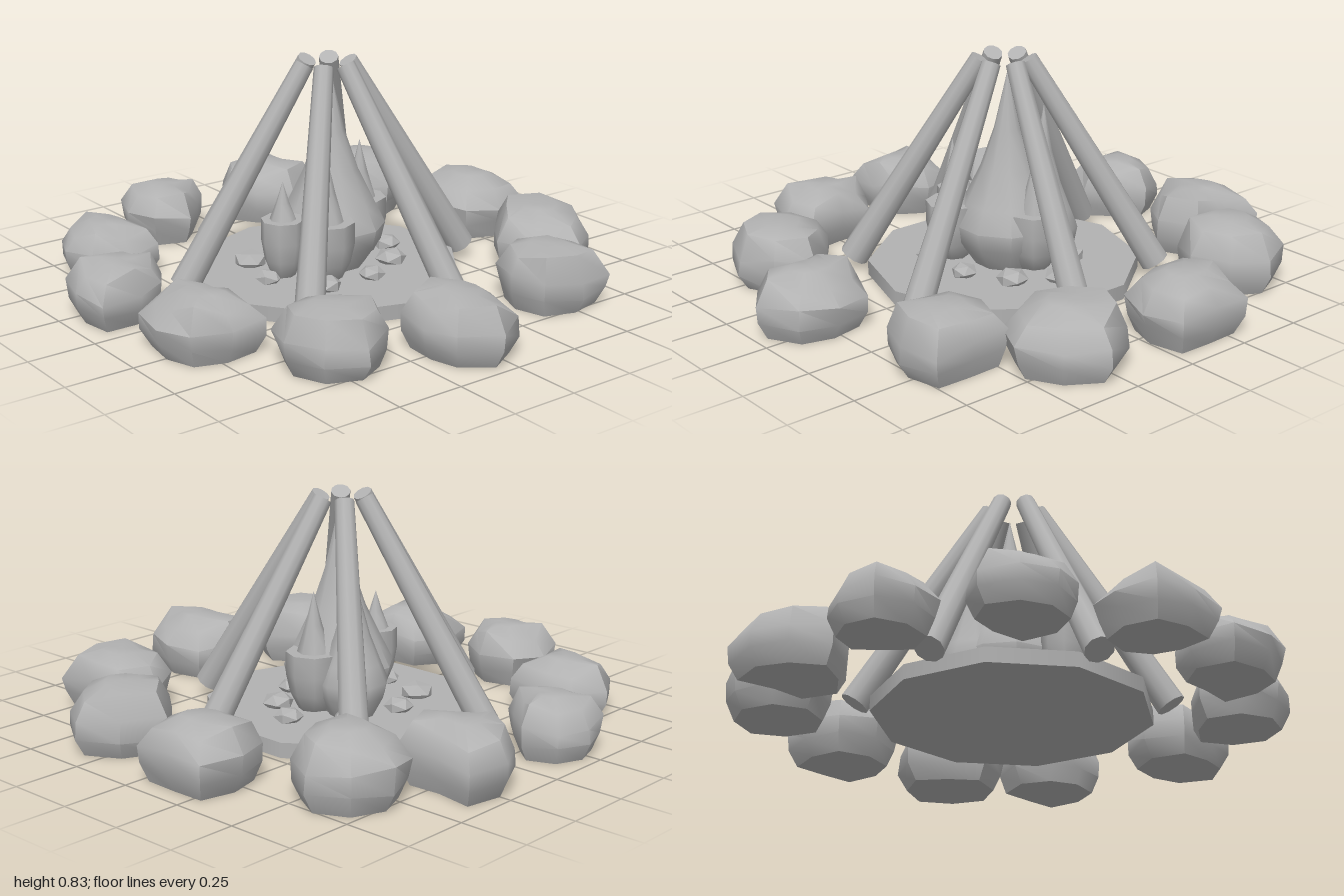
import * as THREE from 'three';
import { toCreasedNormals } from 'three/addons/utils/BufferGeometryUtils.js';

const grey = new THREE.MeshStandardMaterial({ color: 0xb2b2b2 });
grey.name = 'paleGrey';
const CX = -0.04; // centre of the fire

let seed = 7;
const rand = () => (seed = (seed * 16807) % 2147483647) / 2147483647;

function add(parent, name, geometry, x = 0, y = 0, z = 0) {
  const mesh = new THREE.Mesh(geometry, grey);
  mesh.name = name;
  mesh.position.set(x, y, z);
  parent.add(mesh);
  return mesh;
}

// Rock lofted from jittered rings; radii are the plan outline every 45 degrees
function rockGeometry(height, radii) {
  const rings = [[0, 0], [0.8, 0], [0.95, 0.28], [0.98, 0.58], [0.74, 0.9], [0.34, 1], [0, 1]];
  const n = radii.length, pos = [], index = [];
  rings.forEach(([s, t], k) => {
    const inner = k > 1 && k < 6;
    for (let i = 0; i < n; i++) {
      const a = (i / n) * Math.PI * 2;
      const r = (radii[i] / 100) * s * (inner ? 0.95 + rand() * 0.1 : 1);
      const y = height * t * (inner && k < 5 ? 0.85 + rand() * 0.25 : 1);
      pos.push(r * Math.cos(a), Math.min(y, height), r * Math.sin(a));
    }
    if (k === 0) return;
    for (let i = 0; i < n; i++) {
      const a = (k - 1) * n + i, b = (k - 1) * n + (i + 1) % n;
      if (k < rings.length - 1) index.push(a, a + n, b + n);
      if (k > 1) index.push(a, b + n, b);
      // the top fan closes on its centre
      if (k === rings.length - 1) index.splice(-3, 3, a, a + n, b);
    }
  });
  const g = new THREE.BufferGeometry();
  g.setAttribute('position', new THREE.Float32BufferAttribute(pos, 3));
  g.setIndex(index);
  return toCreasedNormals(g, 0.85);
}

function lathe(points, sides) {
  const g = new THREE.LatheGeometry(points.map(p => new THREE.Vector2(...p)), sides);
  return toCreasedNormals(g, 0.9);
}

export function createModel() {
  const model = new THREE.Group();
  model.name = 'campfire';

  // Ash bed
  add(model, 'ashBed', new THREE.CylinderGeometry(0.5, 0.5, 0.055, 10, 1, false, Math.PI / 2), CX, 0.0275, 0);

  // Ring of stones: x, z, height, outline radii in hundredths
  const stones = [
    [-0.155, -0.8, 0.23, [19, 20, 19, 21, 19, 22, 16, 22]],
    [0.315, -0.73, 0.23, [22, 21, 21, 17, 22, 21, 23, 20]],
    [0.62, -0.48, 0.22, [19, 20, 18, 18, 20, 22, 16, 22]],
    [0.78, 0.06, 0.22, [22, 18, 16, 21, 21, 21, 18, 20]],
    [0.615, 0.465, 0.22, [20, 20, 20, 20, 20, 17, 21, 19]],
    [0.257, 0.733, 0.21, [18, 19, 18, 22, 21, 18, 13, 22]],
    [-0.18, 0.797, 0.21, [15, 21, 17, 19, 18, 19, 17, 15]],
    [-0.588, 0.615, 0.2, [19, 19, 17, 17, 19, 18, 16, 21]],
    [-0.818, 0.21, 0.21, [18, 19, 17, 18, 17, 17, 17, 13]],
    [-0.797, -0.25, 0.23, [22, 18, 21, 18, 20, 24, 14, 21]],
    [-0.61, -0.59, 0.25, [20, 19, 20, 20, 20, 20, 21, 19]],
  ];
  const ring = new THREE.Group();
  ring.name = 'stoneRing';
  stones.forEach(([x, z, h, radii]) => add(ring, 'stone', rockGeometry(h, radii), x, 0, z));
  model.add(ring);

  // Six leaning logs
  const logs = new THREE.Group();
  logs.name = 'logs';
  for (let i = 0; i < 6; i++) {
    const a = 0.75 + i * Math.PI / 3;
    const at = (r, y) => new THREE.Vector3(CX + r * Math.cos(a), y, r * Math.sin(a));
    const foot = at(0.555, 0.05), tip = at(0.085, 0.815);
    const axis = tip.clone().sub(foot);
    const log = add(logs, 'log', new THREE.CylinderGeometry(0.035, 0.054, axis.length(), 10));
    log.position.copy(foot).lerp(tip, 0.5);
    log.quaternion.setFromUnitVectors(new THREE.Vector3(0, 1, 0), axis.normalize());
  }
  model.add(logs);

  // Tall teardrop flames: x, z, radius, tip height
  [[CX, -0.02, 0.2, 0.78], [-0.16, -0.08, 0.13, 0.64]].forEach(([x, z, r, h]) => {
    const profile = [[0, 0.05], [0.6, 0.05], [0.92, 0.13], [1, 0.22], [0.8, 0.33], [0.5, 0.5], [0.25, 0.7], [0, 1]];
    const points = profile.map(([s, t]) => [s * r, t < 0.06 ? 0.05 : 0.05 + t * (h - 0.05)]);
    add(model, 'tallFlame', lathe(points, 10), x, 0, z);
  });

  // Small flames, each a cone rising from a flat-topped bulb
  [[-0.005, 0.22, 0.08, 0.42], [0.11, 0.11, 0.1, 0.52], [-0.05, -0.16, 0.1, 0.5]].forEach(([x, z, r, h]) => {
    const points = [[0, 0.055], [r * 0.55, 0.07], [r * 0.85, 0.13], [r, 0.2], [r, 0.28],
      [r * 0.6, 0.28], [r * 0.3, 0.28 + (h - 0.28) * 0.45], [0, h]];
    add(model, 'smallFlame', lathe(points, 8), x, 0, z);
  });

  // Embers scattered round the flames
  [[-0.2, 0.23, 0.065], [-0.01, 0.28, 0.05], [-0.05, -0.29, 0.055], [0.09, -0.2, 0.06],
    [-0.26, 0.06, 0.055], [0.17, 0.16, 0.06], [-0.22, -0.16, 0.06], [0.18, -0.04, 0.05]].forEach(([x, z, r]) => {
    const ember = add(model, 'ember', new THREE.IcosahedronGeometry(r, 0), x, 0.07, z);
    ember.scale.y = 0.6;
    ember.rotation.y = rand() * 6;
  });

  return model;
}
